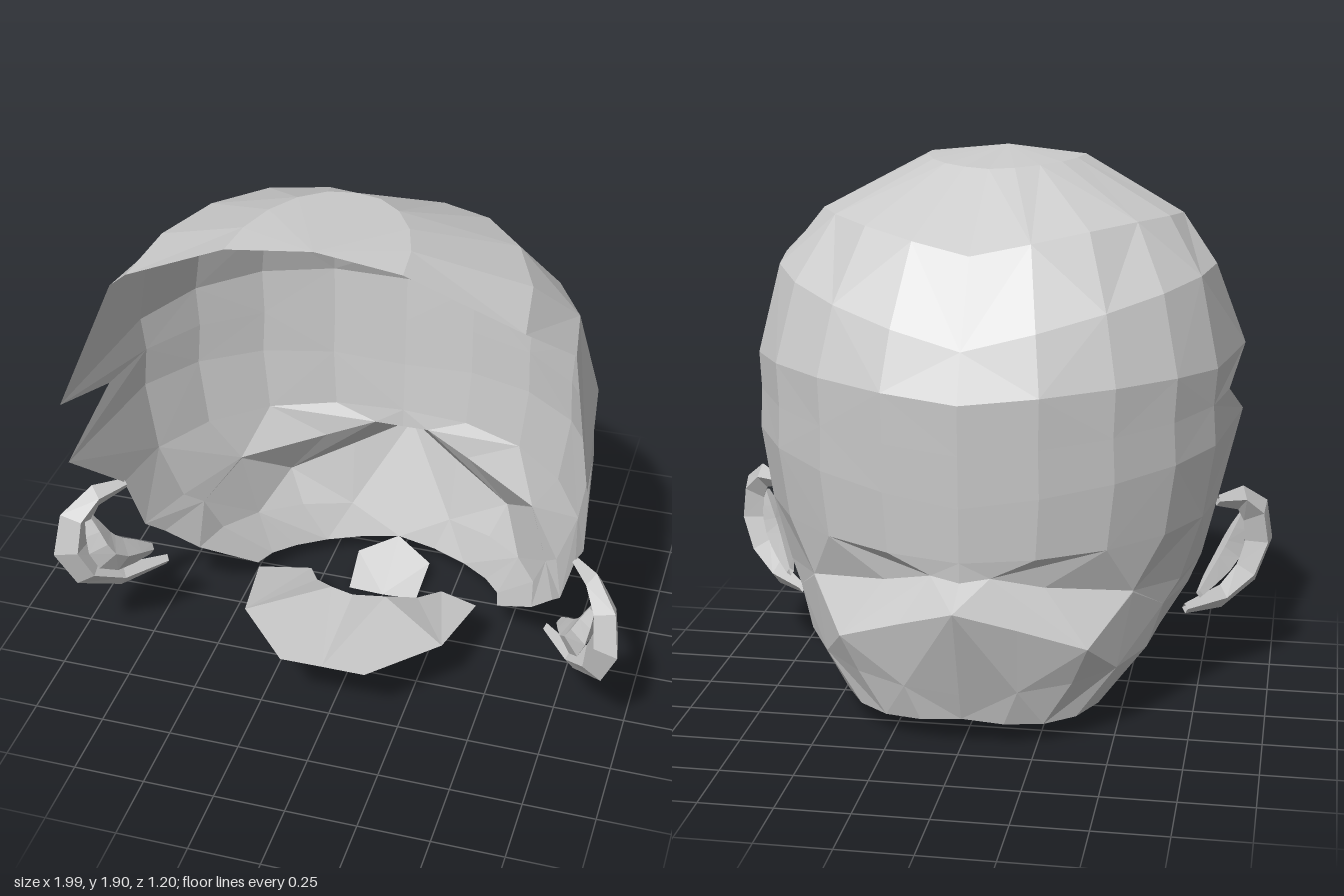
import * as THREE from 'three';

const hairGrey = new THREE.MeshStandardMaterial({ color: 0xcccccc, flatShading: true, side: THREE.DoubleSide });
hairGrey.name = 'hairGrey';

// Faceted surface through rows of vectors, with diagonals mirrored about the middle
function surface(rows, name) {
  const n = rows[0].length;
  const corners = [];
  for (let i = 0; i < rows.length - 1; i++) {
    for (let j = 0; j < n - 1; j++) {
      const a = rows[i][j], b = rows[i + 1][j], c = rows[i + 1][j + 1], d = rows[i][j + 1];
      const odd = (i + Math.min(j, n - 2 - j)) % 2 === 1;
      if ((j < (n - 1) / 2) === odd) corners.push(a, b, d, b, c, d);
      else corners.push(a, b, c, a, c, d);
    }
  }
  const geometry = new THREE.BufferGeometry().setFromPoints(corners);
  geometry.computeVertexNormals();
  const mesh = new THREE.Mesh(geometry, hairGrey);
  mesh.name = name;
  return mesh;
}

// Completes a half row that ends on the centre line
function mirrorRow(half) {
  const other = half.slice(0, -1).reverse().map((p) => new THREE.Vector3(-p.x, p.y, p.z));
  return [...half, ...other];
}

const halfRow = (...points) => mirrorRow(points.map((p) => new THREE.Vector3(...p)));

// Quarter ellipse from the front rim to the back centre line;
// bulge lifts its middle, spike pulls its front end forward
function rib([rimX, rimY, rimZ, backY, backZ, bulge, spike = 0]) {
  const half = [];
  for (let k = 0; k <= 5; k++) {
    const a = (k / 5) * Math.PI / 2;
    half.push(new THREE.Vector3(
      rimX * Math.cos(a),
      backY + (rimY - backY) * Math.cos(a) + bulge * Math.sin(2 * a),
      backZ + (rimZ - backZ) * (1 - Math.sin(a)),
    ));
  }
  half[0].x += spike * 0.1;
  half[0].z += spike;
  return mirrorRow(half);
}

// Flattened four-sided tube along a curve, tapered at both ends
function strand(points, radius, side, name) {
  const curve = new THREE.CatmullRomCurve3(points.map((p) => new THREE.Vector3(...p)));
  const centre = new THREE.Vector3(0.82, 0.5, 0.33);
  const rows = [];
  for (let i = 0; i <= 6; i++) {
    const p = curve.getPoint(i / 6), t = curve.getTangent(i / 6);
    const u = p.clone().sub(centre);
    u.addScaledVector(t, -u.dot(t)).normalize();
    const v = t.clone().cross(u);
    const r = 0.02 + radius * Math.sin(Math.PI * i / 6);
    const row = [];
    for (let k = 0; k <= 4; k++) {
      const a = side * k * Math.PI / 2;
      const q = p.clone().addScaledVector(u, Math.cos(a) * r).addScaledVector(v, Math.sin(a) * r * 0.7);
      q.x *= side;
      row.push(q);
    }
    rows.push(row);
  }
  return surface(rows, name);
}

export function createModel() {
  const model = new THREE.Group();
  model.name = 'hairPiece';

  // Crown ribs, top down: rim x, y, z, back y, z, bulge, spike
  const crown = [
    [0, 1.9, 0.59, 1.9, 0.59, 0],
    [0.28, 1.87, 0.6, 1.87, 0.14, 0.005],
    [0.64, 1.68, 0.52, 1.64, -0.26, 0.045],
    [0.77, 1.53, 0.36, 1.36, -0.43, 0.01],
    [0.84, 1.2, 0.31, 1.2, -0.5, 0.04, 0.29],
    [0.83, 1.1, 0.29, 1.03, -0.49, 0],
    [0.84, 0.96, 0.3, 0.85, -0.48, 0, 0.28],
    [0.8, 0.7, 0.3, 0.66, -0.465, 0],
  ].map(rib);

  // Roll at the nape: ledge, pointed ridge and lower rim
  const ledge = halfRow([0.75, 0.5, 0.26], [0.69, 0.48, 0.03], [0.55, 0.51, -0.21],
    [0.27, 0.56, -0.37], [0.1, 0.605, -0.44], [0, 0.59, -0.46]);
  const ridge = halfRow([0.71, 0.42, 0.18], [0.64, 0.41, -0.04], [0.55, 0.505, -0.212],
    [0.42, 0.36, -0.4], [0.2, 0.45, -0.5], [0, 0.53, -0.6]);
  const underside = [
    [0.62, 0.29, 0.08, 0.2, -0.47, -0.03],
    [0.46, 0.12, -0.1, 0.1, -0.43, -0.04],
  ].map(rib);
  model.add(surface([...crown, ledge, ridge, ...underside], 'crownShell'));

  // Small flap under the nape
  model.add(surface([
    halfRow([0.14, 0.06, -0.35], [0, 0.11, -0.42]),
    halfRow([0.13, 0.005, -0.19], [0, 0, -0.19]),
  ], 'napeFlap'));

  // Flat crescent low at the front
  model.add(surface([
    halfRow([0.25, 0.14, -0.1], [0.19, 0.19, 0.02], [0.1, 0.26, 0.13], [0, 0.3, 0.2]),
    halfRow([0.41, 0.21, 0.03], [0.36, 0.255, 0.33], [0.15, 0.27, 0.57], [0, 0.275, 0.575]),
  ], 'frontCrescent'));

  // Side curls: a hooked outer rim and an inner fold
  for (const side of [1, -1]) {
    const curl = new THREE.Group();
    curl.name = side > 0 ? 'leftCurl' : 'rightCurl';
    curl.add(strand([[0.8, 0.69, 0.29], [0.91, 0.66, 0.41], [0.945, 0.5, 0.46], [0.87, 0.34, 0.39], [0.7, 0.31, 0.2]],
      0.05, side, 'curlRim'));
    curl.add(strand([[0.89, 0.61, 0.42], [0.84, 0.46, 0.4], [0.75, 0.36, 0.22]], 0.045, side, 'curlFold'));
    model.add(curl);
  }
  return model;
}
